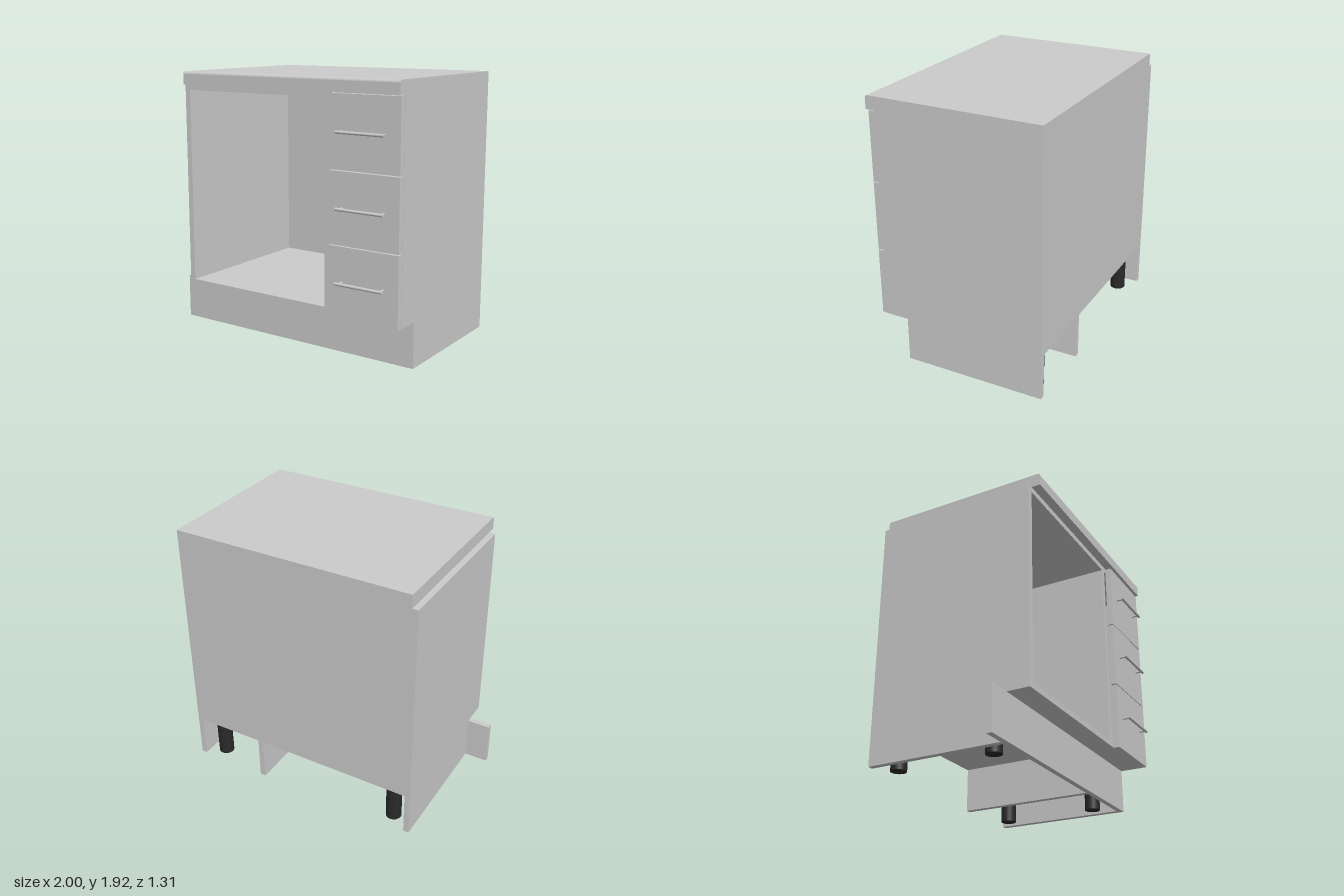
import * as THREE from 'three';

const grey = new THREE.MeshStandardMaterial({ color: 0xcccccc });
const black = new THREE.MeshStandardMaterial({ color: 0x2a2a2a });

const BACK = -0.66, FRONT = 0.545, KICK = 0.325, TOP = 1.83, T = 0.042;

export function createModel() {
  const model = new THREE.Group();

  const add = (name, geometry, material = grey, parent = model) => {
    const mesh = new THREE.Mesh(geometry, material);
    mesh.name = name;
    parent.add(mesh);
    return mesh;
  };

  // Box given by its limits on each axis
  const box = (name, x0, x1, y0, y1, z0, z1) =>
    add(name, new THREE.BoxGeometry(x1 - x0, y1 - y0, z1 - z0)
      .translate((x0 + x1) / 2, (y0 + y1) / 2, (z0 + z1) / 2));

  // Side profile drawn as (-z, y), extruded along x
  const sideExtrude = (name, shape, x0, x1) =>
    add(name, new THREE.ExtrudeGeometry(shape, { depth: x1 - x0, bevelEnabled: false, curveSegments: 8 })
      .rotateY(Math.PI / 2).translate(x0, 0, 0));

  // Upright panels reaching the floor, notched at the toe kick
  const upright = new THREE.Shape([
    [BACK, 0], [0.34, 0], [0.34, KICK], [FRONT, KICK], [FRONT, TOP], [BACK, TOP],
  ].map(([z, y]) => new THREE.Vector2(-z, y)));
  sideExtrude('rightPanel', upright, -0.828, -0.828 + T);
  sideExtrude('divider', upright, 0.398, 0.398 + T);
  sideExtrude('leftPanel', upright, 1 - T, 1);

  // Horizontal panels and back of both compartments
  for (const [x0, x1, label] of [[-0.828 + T, 0.398, 'open'], [0.398 + T, 1 - T, 'drawer']]) {
    box(label + 'BottomPanel', x0, x1, KICK, KICK + T, BACK, FRONT);
    box(label + 'TopPanel', x0, x1, TOP - T, TOP, BACK, FRONT);
    box(label + 'BackPanel', x0, x1, KICK + T, TOP - T, BACK, BACK + 0.025);
  }

  // Worktop with a rounded front edge
  const r = 0.02, y1 = 1.925, z1 = 0.61;
  const top = new THREE.Shape();
  top.moveTo(-BACK, TOP);
  top.lineTo(-BACK, y1);
  top.lineTo(-z1 + r, y1);
  top.absarc(-z1 + r, y1 - r, r, Math.PI / 2, Math.PI, false);
  top.lineTo(-z1, TOP);
  top.closePath();
  sideExtrude('worktop', top, -0.785, 1);

  // Toe-kick board running past the right side
  box('toeKick', -1, 1, 0, KICK, 0.34, 0.38);

  // Drawer fronts with bar handles
  for (let i = 0; i < 3; i++) {
    const y = KICK + i * 0.502;
    box('drawerFront', 0.465, 0.998, y, y + 0.495, FRONT, 0.59);

    const handle = new THREE.Group();
    handle.name = 'drawerHandle';
    handle.position.set(0.727, y + 0.252, 0.59);
    add('handleBar', new THREE.CylinderGeometry(0.011, 0.011, 0.364, 16).rotateZ(Math.PI / 2), grey, handle)
      .position.z = 0.05;
    for (const side of [-1, 1]) {
      add('handlePost', new THREE.CylinderGeometry(0.007, 0.007, 0.05, 12).rotateX(Math.PI / 2), grey, handle)
        .position.set(side * 0.158, 0, 0.025);
    }
    model.add(handle);
  }

  // Round support legs
  for (const x of [-0.65, 0.845]) {
    for (const z of [-0.545, 0.19]) {
      add('leg', new THREE.CylinderGeometry(0.057, 0.057, KICK, 24), black).position.set(x, KICK / 2, z);
    }
  }

  return model;
}
